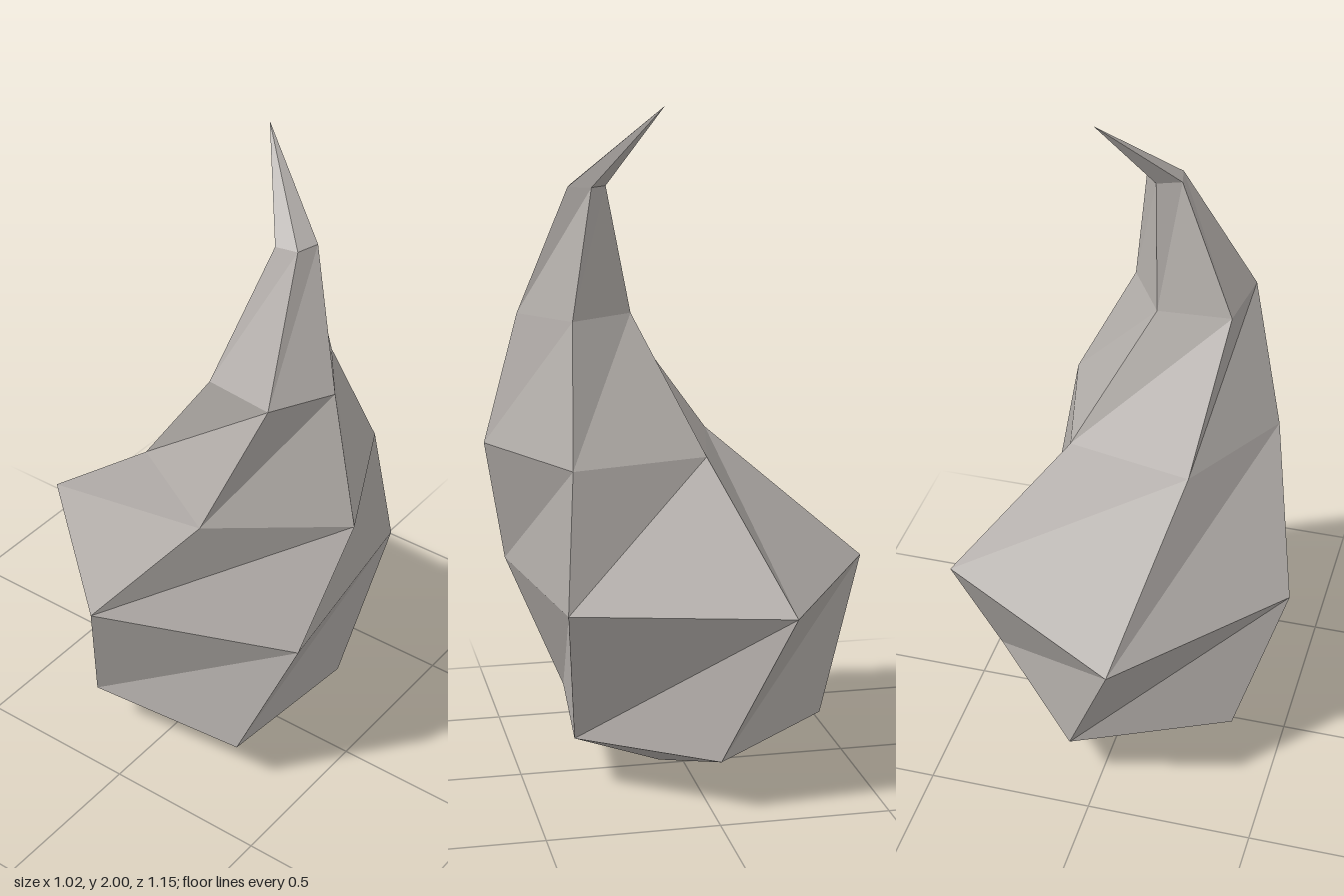
import * as THREE from 'three';

// Five-sided cross-sections from bottom to top: height, then [x, z] corners
// in the order back, right, front right, front left, left.
const RINGS = [
  [0.16, [[0.085, -0.405], [0.425, -0.02], [0.15, 0.36], [-0.325, 0.317], [-0.37, -0.188]]],
  [0.6, [[-0.08, -0.575], [0.51, -0.22], [0.35, 0.405], [-0.28, 0.5], [-0.51, -0.08]]],
  [1.0, [[-0.2, -0.11], [0.18, -0.03], [0.275, 0.375], [-0.13, 0.575], [-0.395, 0.235]]],
  [1.39, [[-0.255, 0.165], [-0.035, 0.15], [0.08, 0.34], [-0.1, 0.475], [-0.28, 0.38]]],
  [1.765, [[-0.08, 0.253], [-0.01, 0.225], [0.03, 0.273], [0, 0.337], [-0.067, 0.318]]],
];
const BOTTOM = [-0.03, 0, 0.07];
const TIP = [0.13, 2, 0.08];

export function createModel() {
  const stone = new THREE.MeshStandardMaterial({ color: 0xb3aeaa, flatShading: true });
  const rings = RINGS.map(([y, corners]) => corners.map(([x, z]) => [x, y, z]));
  const sides = 5;
  const positions = [];
  const triangle = (a, b, c) => positions.push(...a, ...b, ...c);

  for (let i = 0; i < sides; i++) {
    const j = (i + 1) % sides;
    // pointed underside
    triangle(BOTTOM, rings[0][i], rings[0][j]);
    // body walls, bending towards the tip
    for (let k = 0; k < rings.length - 1; k++) {
      const low = rings[k], high = rings[k + 1];
      triangle(low[j], low[i], high[i]);
      triangle(low[j], high[i], high[j]);
    }
    // curled spike
    const top = rings[rings.length - 1];
    triangle(top[j], top[i], TIP);
  }

  const geometry = new THREE.BufferGeometry();
  geometry.setAttribute('position', new THREE.Float32BufferAttribute(positions, 3));
  geometry.computeVertexNormals();

  const body = new THREE.Mesh(geometry, stone);
  body.name = 'curledSpikeBody';
  const group = new THREE.Group();
  group.name = 'curledSpike';
  group.add(body);
  return group;
}
